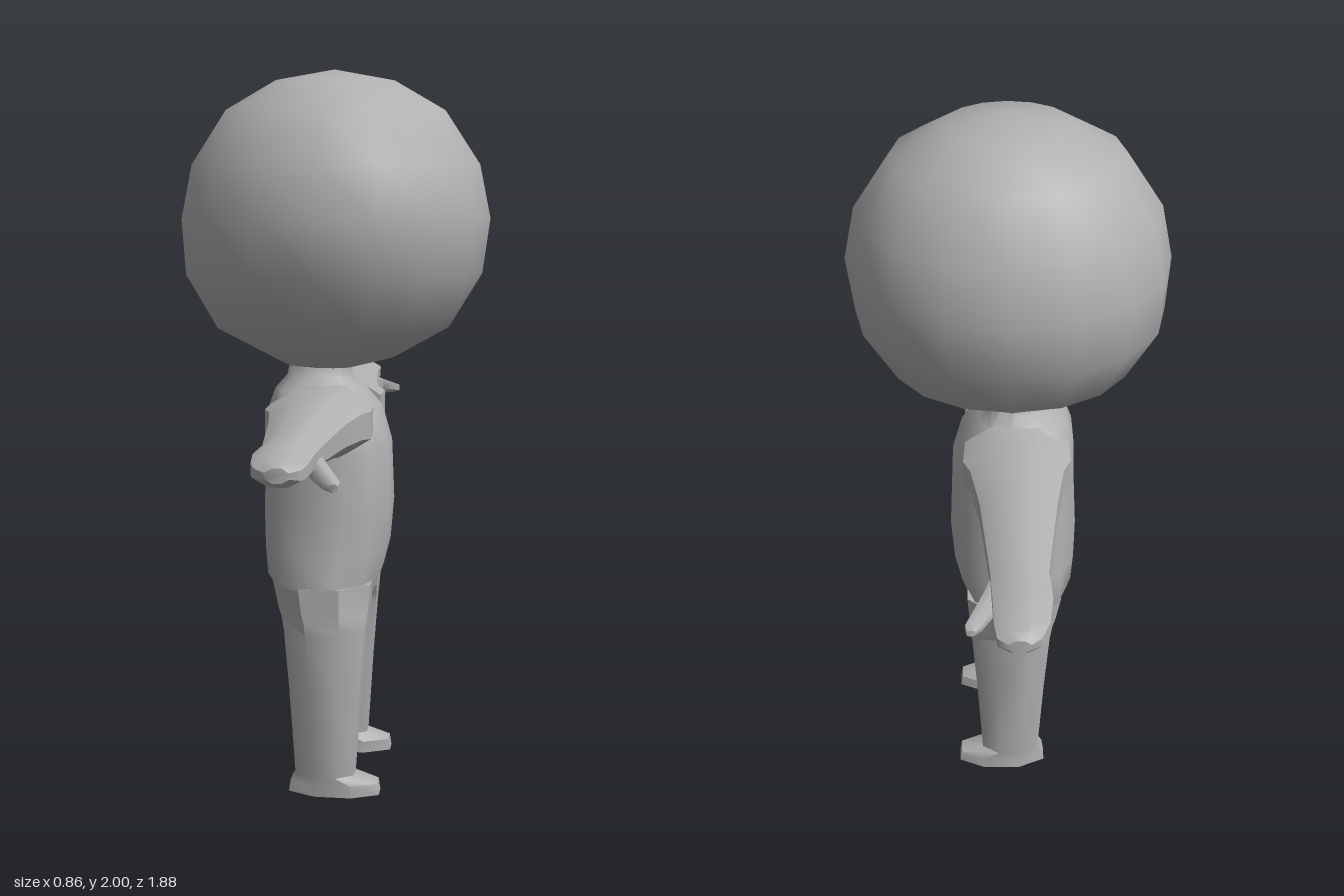
import * as THREE from 'three';
import { toCreasedNormals } from 'three/addons/utils/BufferGeometryUtils.js';

const skin = new THREE.MeshStandardMaterial({ color: 0xb0b0b0 });
skin.name = 'plain grey';

// Lofts rings [t, a0, a1, b0, b1]: a runs along x; t runs along y (b = z) or along z (b = y).
// side = -1 mirrors the part in z; power < 1 squares the cross-section.
function loft(name, rings, { n = 8, axis = 'y', side = 1, power = 1, turn = 0.5, crease = 0.7 } = {}) {
  const place = axis === 'y' ? (a, b, t) => [a, t, b * side] : (a, b, t) => [a, b, t * side];
  const flip = (axis === 'y') !== (side < 0);
  const fit = turn ? 1 / Math.cos(Math.PI / n) : 1;
  const shape = v => Math.sign(v) * Math.min(1, Math.abs(v * fit)) ** power;
  const pos = [], index = [];
  const tri = (a, b, c) => (flip ? index.push(a, c, b) : index.push(a, b, c));

  for (const [t, a0, a1, b0, b1] of rings) {
    for (let i = 0; i < n; i++) {
      const angle = ((i + turn) / n) * Math.PI * 2;
      const a = (a0 + a1) / 2 + ((a1 - a0) / 2) * shape(Math.cos(angle));
      const b = (b0 + b1) / 2 + ((b1 - b0) / 2) * shape(Math.sin(angle));
      pos.push(...place(a, b, t));
    }
  }
  for (let k = 0; k < rings.length - 1; k++) {
    for (let i = 0; i < n; i++) {
      const p = k * n + i, q = k * n + ((i + 1) % n);
      tri(p, q, q + n);
      tri(p, q + n, p + n);
    }
  }
  // End caps
  const last = (rings.length - 1) * n;
  for (let i = 1; i < n - 1; i++) {
    tri(0, i + 1, i);
    tri(last, last + i, last + i + 1);
  }
  const geometry = new THREE.BufferGeometry();
  geometry.setAttribute('position', new THREE.Float32BufferAttribute(pos, 3));
  geometry.setIndex(index);
  const mesh = new THREE.Mesh(toCreasedNormals(geometry, crease), skin);
  mesh.name = name;
  return mesh;
}

export function createModel() {
  const model = new THREE.Group();
  model.name = 'figure';

  // Large round head, drawn in towards the neck
  model.add(loft('head', [
    [1.185, -0.12, 0.05, -0.07, 0.07],
    [1.215, -0.18, 0.17, -0.13, 0.13],
    [1.30, -0.335, 0.32, -0.295, 0.295],
    [1.45, -0.42, 0.41, -0.395, 0.395],
    [1.60, -0.43, 0.43, -0.41, 0.41],
    [1.745, -0.40, 0.40, -0.38, 0.38],
    [1.89, -0.304, 0.304, -0.29, 0.29],
    [1.97, -0.165, 0.165, -0.157, 0.157],
    [2.00, 0, 0, 0, 0],
  ], { n: 16, turn: 0, crease: 1.2 }));

  // Torso from crotch to neck
  model.add(loft('torso', [
    [0.52, -0.11, 0.10, -0.22, 0.22],
    [0.56, -0.145, 0.12, -0.24, 0.24],
    [0.60, -0.18, 0.135, -0.24, 0.24],
    [0.68, -0.187, 0.155, -0.225, 0.225],
    [0.80, -0.19, 0.165, -0.215, 0.215],
    [0.97, -0.182, 0.158, -0.21, 0.21],
    [1.07, -0.18, 0.13, -0.20, 0.20],
    [1.13, -0.16, 0.08, -0.15, 0.15],
    [1.165, -0.13, 0.045, -0.08, 0.08],
    [1.21, -0.12, 0.05, -0.075, 0.075],
  ], { n: 12, power: 0.85, crease: 1.1 }));

  for (const [word, side] of [['left', 1], ['right', -1]]) {
    // Leg and foot in one piece, toes towards +x
    model.add(loft(word + 'Leg', [
      [0, -0.105, 0.15, 0.115, 0.233],
      [0.033, -0.10, 0.145, 0.117, 0.232],
      [0.055, -0.086, 0.08, 0.115, 0.232],
      [0.30, -0.103, 0.095, 0.088, 0.24],
      [0.47, -0.118, 0.108, 0.065, 0.245],
      [0.505, -0.125, 0.112, 0.04, 0.245],
      [0.53, -0.135, 0.115, 0.005, 0.245],
      [0.60, -0.15, 0.12, 0.005, 0.241],
    ], { side }));

    // Arm and mitten hand
    model.add(loft(word + 'Arm', [
      [0.10, -0.165, 0.12, 0.96, 1.145],
      [0.20, -0.165, 0.125, 0.962, 1.143],
      [0.25, -0.145, 0.105, 0.97, 1.14],
      [0.40, -0.122, 0.08, 0.985, 1.13],
      [0.68, -0.09, 0.055, 1.012, 1.107],
      [0.78, -0.096, 0.05, 1.02, 1.10],
      [0.87, -0.085, 0.047, 1.022, 1.09],
      [0.92, -0.065, 0.04, 1.027, 1.085],
      [0.94, -0.04, 0.015, 1.04, 1.075],
    ], { axis: 'z', side }));

    // Thumb
    model.add(loft(word + 'Thumb', [
      [0.65, 0.0, 0.045, 1.025, 1.07],
      [0.72, 0.02, 0.07, 1.01, 1.06],
      [0.775, 0.052, 0.098, 1.0, 1.04],
      [0.81, 0.075, 0.116, 0.995, 1.027],
      [0.83, 0.092, 0.112, 1.0, 1.02],
    ], { n: 6, axis: 'z', side, crease: 1.1 }));
  }
  return model;
}
